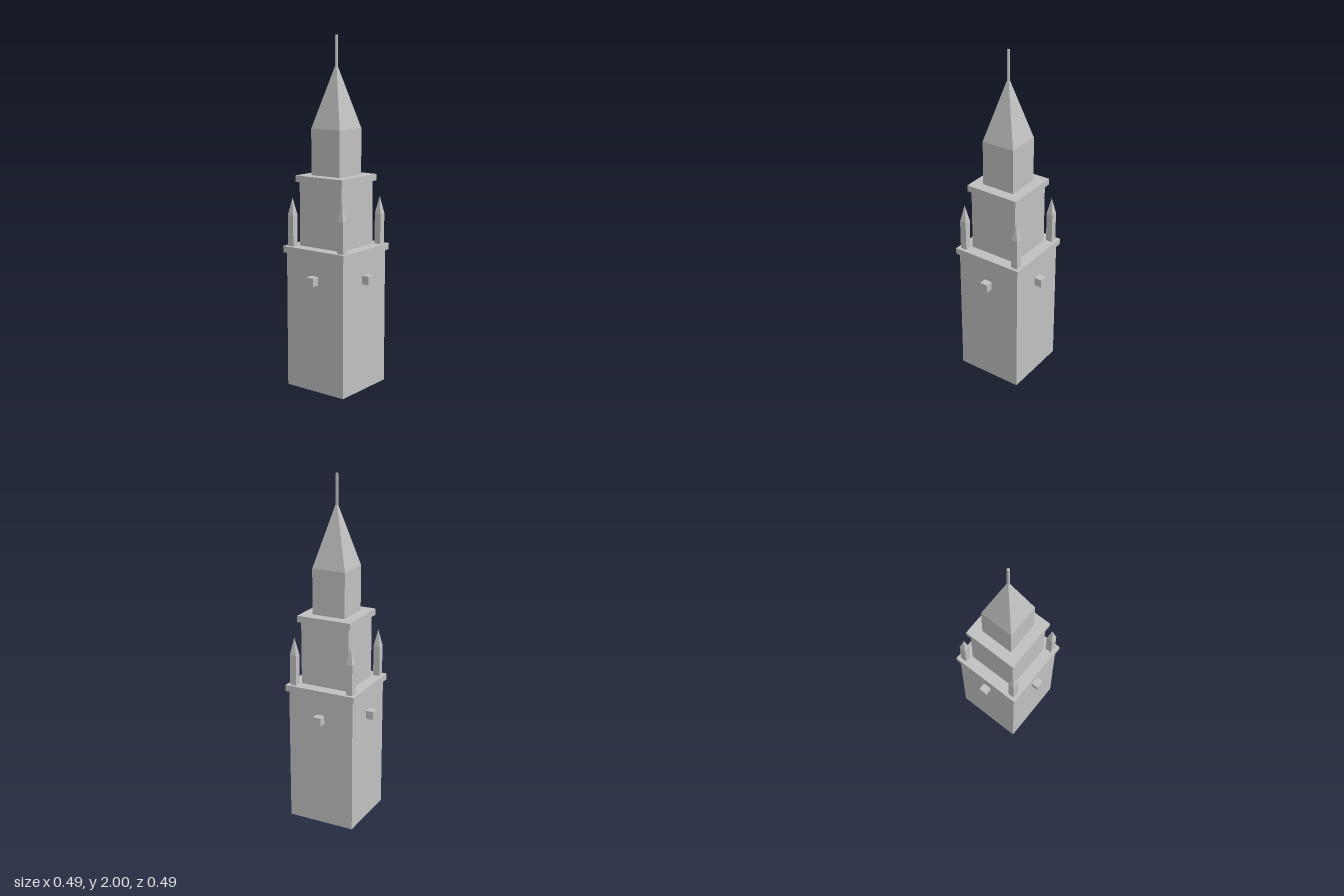
import * as THREE from 'three';

export function createModel() {
  const tower = new THREE.Group();
  tower.name = 'clockTower';
  const stone = new THREE.MeshStandardMaterial({ color: 0xc0c0c0 });
  stone.name = 'greyStone';

  const add = (name, geometry, x = 0, z = 0) => {
    const mesh = new THREE.Mesh(geometry, stone);
    mesh.name = name;
    mesh.position.set(x, 0, z);
    tower.add(mesh);
  };

  // Box given by its half width, half depth and vertical range
  const block = (hx, y0, y1, hz = hx) =>
    new THREE.BoxGeometry(hx * 2, y1 - y0, hz * 2).translate(0, (y0 + y1) / 2, 0);

  // Square pyramid with sides parallel to the axes
  const pyramid = (half, y0, y1) => {
    const g = new THREE.ConeGeometry(half * Math.SQRT2, y1 - y0, 4, 1, true)
      .rotateY(Math.PI / 4)
      .translate(0, (y0 + y1) / 2, 0)
      .toNonIndexed();
    g.computeVertexNormals();
    return g;
  };

  // Stacked tiers and their cornices
  add('lowerTower', block(0.2, 0, 0.786));
  add('lowerCornice', block(0.215, 0.786, 0.823));
  add('middleTower', block(0.147, 0.823, 1.188));
  add('upperCornice', block(0.163, 1.188, 1.225));
  add('lantern', block(0.1, 1.225, 1.486));

  // Spire and mast
  add('spire', pyramid(0.1, 1.486, 1.85));
  add('mast', block(0.006, 1.8, 2));

  // Corner pinnacles
  for (const sx of [-1, 1]) {
    for (const sz of [-1, 1]) {
      add('pinnacleShaft', block(0.0195, 0.823, 1.0), sx * 0.176, sz * 0.176);
      add('pinnacleTip', pyramid(0.0195, 1.0, 1.1), sx * 0.176, sz * 0.176);
    }
  }

  // Small blocks projecting from the middle of each wall
  for (const s of [-1, 1]) {
    add('sideBlock', block(0.0245, 0.625, 0.674, 0.024), s * 0.2195, 0);
    add('wallBlock', block(0.024, 0.625, 0.674, 0.0245), 0, s * 0.2195);
  }
  return tower;
}
